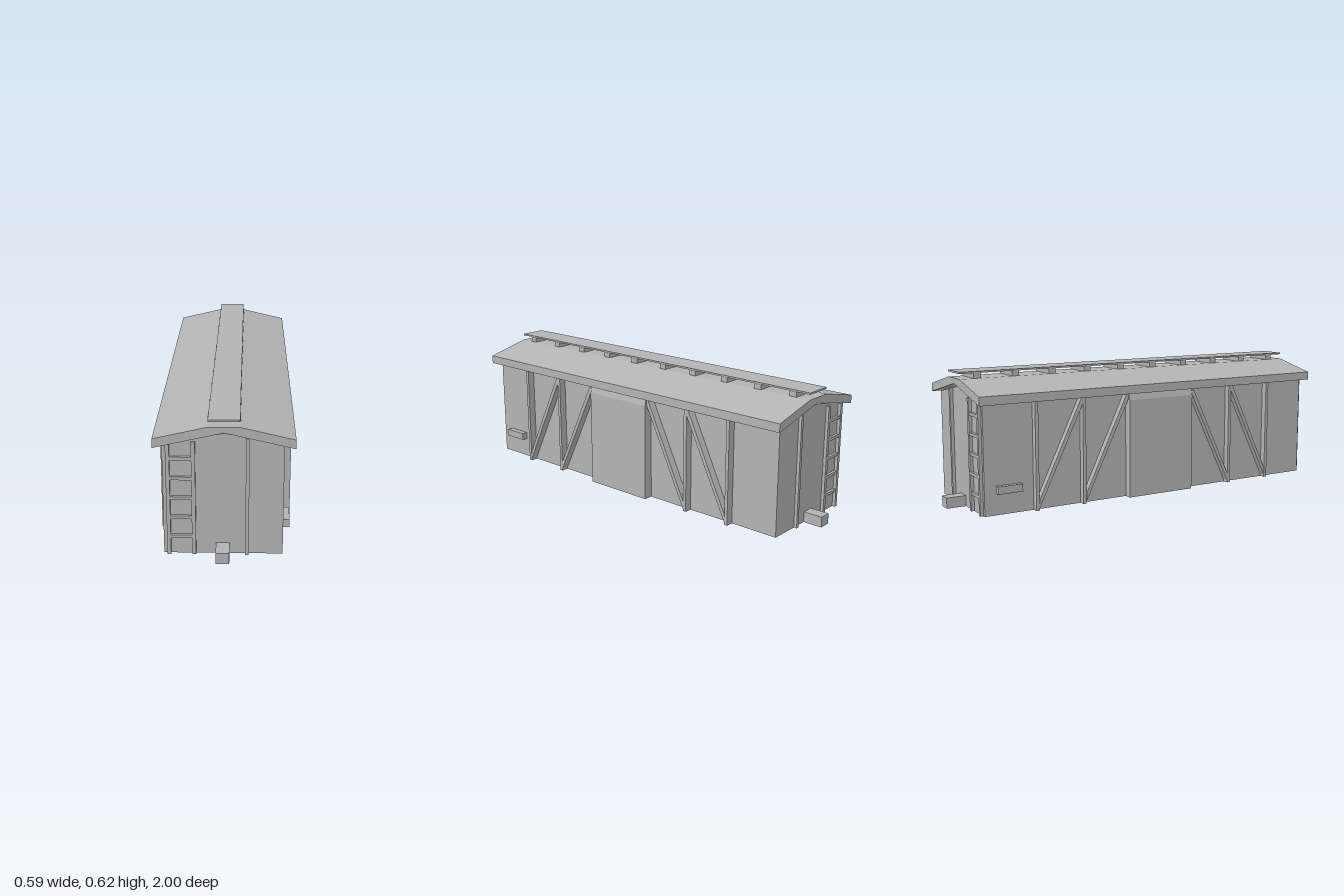
import * as THREE from 'three';

export function createModel() {
  const model = new THREE.Group();
  model.name = 'boxcar';
  const grey = new THREE.MeshStandardMaterial({ color: 0xb3b3b3 });
  grey.name = 'plain grey';

  const add = (geometry, name, parent = model) => {
    const mesh = new THREE.Mesh(geometry, grey);
    mesh.name = name;
    parent.add(mesh);
    return mesh;
  };
  // Box given by its two opposite corners
  const box = (name, x0, x1, y0, y1, z0, z1, parent) =>
    add(new THREE.BoxGeometry(x1 - x0, y1 - y0, z1 - z0)
      .translate((x0 + x1) / 2, (y0 + y1) / 2, (z0 + z1) / 2), name, parent);
  // Outline in x, y extruded along z, centred on z = 0
  const prism = (name, points, depth, parent) => {
    const shape = new THREE.Shape(points.map(([x, y]) => new THREE.Vector2(x, y)));
    return add(new THREE.ExtrudeGeometry(shape, { depth, bevelEnabled: false })
      .translate(0, 0, -depth / 2), name, parent);
  };

  const centre = -0.004, half = 0.254, endZ = 0.907;
  const postX = 0.287, doorX = 0.295;

  // Gabled body, and the roof that sits just above it
  prism('body', [[centre - half, 0], [centre + half, 0], [centre + half, 0.506],
    [0, 0.555], [centre - half, 0.506]], endZ * 2);
  prism('roof', [[-0.295, 0.5], [0, 0.568], [0.295, 0.5], [0.295, 0.54],
    [0.068, 0.593], [-0.068, 0.593], [-0.295, 0.54]], 1.87);

  // Roof walkway on ten supports
  box('walkway', -0.066, 0.066, 0.617, 0.625, -0.935, 0.935);
  for (let i = 0; i < 10; i++) {
    const z = -0.848 + i * 0.1885;
    box('walkwaySupport', -0.068, 0.068, 0.59, 0.617, z - 0.018, z + 0.018);
  }

  // Sides: the second is the first turned half round
  for (const turn of [0, 1]) {
    const side = new THREE.Group();
    side.name = turn ? 'rightSide' : 'leftSide';
    side.rotation.y = turn * Math.PI;
    model.add(side);
    const wall = 0.248;

    // Sliding door with a sloped top edge
    prism('door', [[wall, 0], [doorX, 0], [doorX, 0.47], [postX, 0.5], [wall, 0.5]], 0.36, side);
    box('step', wall, 0.28, 0.098, 0.133, 0.73, 0.85, side);

    for (const s of [-1, 1]) {
      for (const z of [0.419, 0.661]) {
        box('sidePost', wall, postX, 0, 0.505, s * z - 0.008, s * z + 0.008, side);
      }
      // Diagonal braces leaning towards the door
      for (const z of [0.41, 0.652]) {
        const pts = [[z, 0.012], [z, 0.05], [z - 0.217, 0.5], [z - 0.227, 0.5], [z - 0.227, 0.475]];
        const shape = new THREE.Shape(pts.map(([a, b]) => new THREE.Vector2(-s * a, b)));
        const brace = new THREE.ExtrudeGeometry(shape, { depth: postX - wall, bevelEnabled: false });
        brace.rotateY(Math.PI / 2).translate(wall, 0, 0);
        add(brace, 'diagonalBrace', side);
      }
    }
  }

  // Ends: coupler, post and ladder, mirrored front to back
  for (const s of [-1, 1]) {
    const end = new THREE.Group();
    end.name = s > 0 ? 'frontEnd' : 'backEnd';
    model.add(end);
    const endBox = (name, x0, x1, y0, y1, out) => {
      const a = s * (endZ - 0.003), b = s * out;
      box(name, x0, x1, y0, y1, Math.min(a, b), Math.max(a, b), end);
    };
    endBox('coupler', -0.035, 0.023, 0, 0.05, 1);
    endBox('endPost', 0.09, 0.105, 0, 0.537, 0.922);
    endBox('ladderRail', -0.243, -0.227, 0, 0.509, 0.922);
    endBox('ladderRail', -0.137, -0.12, 0, 0.519, 0.922);
    for (let i = 0; i < 5; i++) {
      const y = 0.077 + i * 0.0905;
      endBox('ladderRung', -0.228, -0.136, y, y + 0.014, 0.92);
    }
  }
  return model;
}
